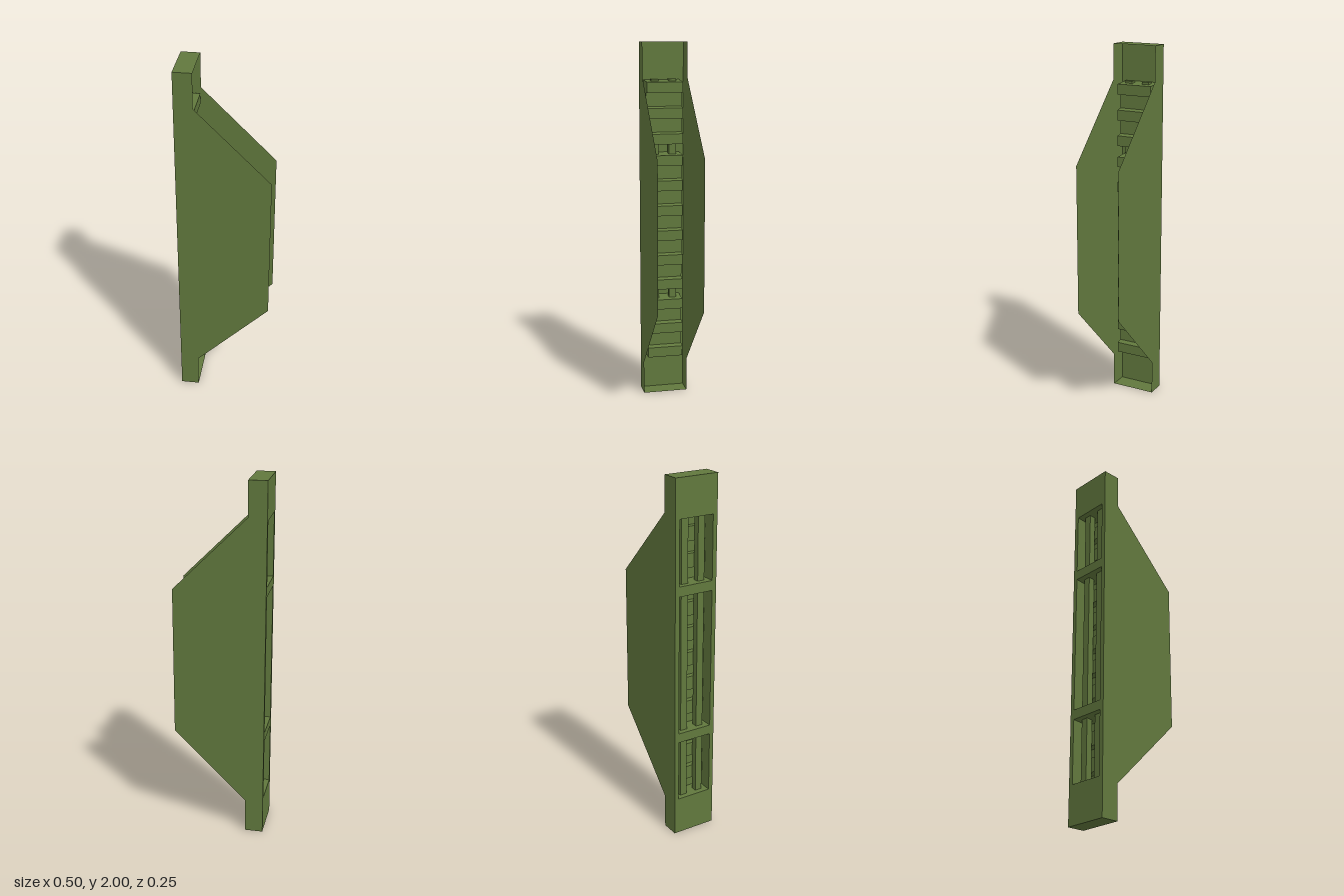
import * as THREE from 'three';

const BACK = -0.25, LIP = -0.15, HALF = 0.125, PANEL = 0.1;
const RIB = 0.065, GAP = 0.077, GROOVE = -0.18;

// the three ribbed pockets: top height and number of ribs
const pockets = [
  { top: 1.793, ribs: 3 },
  { top: 1.39, ribs: 6 },
  { top: 0.562, ribs: 3 },
];
const pocketBottom = (p) => p.top - p.ribs * RIB - (p.ribs - 1) * GAP;

// stepped outline of a pocket in x and y, from its top to its bottom
function pocketProfile(p) {
  const points = [[BACK, p.top]];
  for (let i = 0; i < p.ribs; i++) {
    const y = p.top - i * (RIB + GAP);
    if (i > 0) points.push([GROOVE, y]);
    points.push([LIP, y - 0.008], [LIP, y - RIB]);
    if (i < p.ribs - 1) points.push([GROOVE, y - RIB]);
  }
  points.push([BACK, pocketBottom(p)]);
  return points;
}

// sheet swept along z between the two pocket sides
function sweep(points) {
  const pos = [];
  for (let i = 0; i < points.length - 1; i++) {
    const [ax, ay] = points[i], [bx, by] = points[i + 1];
    pos.push(ax, ay, PANEL, bx, by, PANEL, bx, by, -PANEL);
    pos.push(ax, ay, PANEL, bx, by, -PANEL, ax, ay, -PANEL);
  }
  const g = new THREE.BufferGeometry();
  g.setAttribute('position', new THREE.Float32BufferAttribute(pos, 3));
  g.computeVertexNormals();
  return g;
}

const shapeOf = (points) => new THREE.Shape(points.map(([x, y]) => new THREE.Vector2(x, y)));

export function createModel() {
  const group = new THREE.Group();
  const material = new THREE.MeshStandardMaterial({ color: 0x61783d, side: THREE.DoubleSide });
  const add = (name, geometry, x = 0, y = 0, z = 0) => {
    const mesh = new THREE.Mesh(geometry, material);
    mesh.name = name;
    mesh.position.set(x, y, z);
    group.add(mesh);
    return mesh;
  };

  // trapezoid side plates
  const plate = new THREE.ShapeGeometry(shapeOf([
    [BACK, 0], [LIP, 0], [LIP, 0.19], [0.25, 0.59],
    [0.25, 1.41], [LIP, 1.81], [LIP, 2], [BACK, 2],
  ]));
  add('frontPlate', plate, 0, 0, HALF);
  add('rearPlate', plate.clone().rotateY(Math.PI).scale(-1, 1, 1), 0, 0, -HALF).geometry = plate;

  // end caps
  const cap = new THREE.PlaneGeometry(LIP - BACK, HALF * 2).rotateX(-Math.PI / 2);
  add('topCap', cap, (BACK + LIP) / 2, 2, 0);
  add('bottomCap', cap.clone().rotateX(Math.PI), (BACK + LIP) / 2, 0, 0);

  // spine wall with an opening for each pocket
  const wall = shapeOf([[-HALF, 0], [HALF, 0], [HALF, 2], [-HALF, 2]]);
  for (const p of pockets) {
    const b = pocketBottom(p);
    wall.holes.push(shapeOf([[-PANEL, b], [-PANEL, p.top], [PANEL, p.top], [PANEL, b]]));
  }
  add('spineWall', new THREE.ShapeGeometry(wall).rotateY(-Math.PI / 2), BACK);

  // ribbed pockets, open at the back
  for (const p of pockets) {
    const profile = pocketProfile(p);
    add('ribbedPocket', sweep(profile));
    const side = new THREE.ShapeGeometry(shapeOf(profile));
    for (const s of [-1, 1]) add('pocketSide', side, 0, 0, s * PANEL);
  }

  // twin rails running through the pockets
  for (const s of [-1, 1]) {
    add('rail', new THREE.BoxGeometry(0.035, 1.6, 0.04), -0.203, 1, s * 0.05);
  }
  return group;
}
